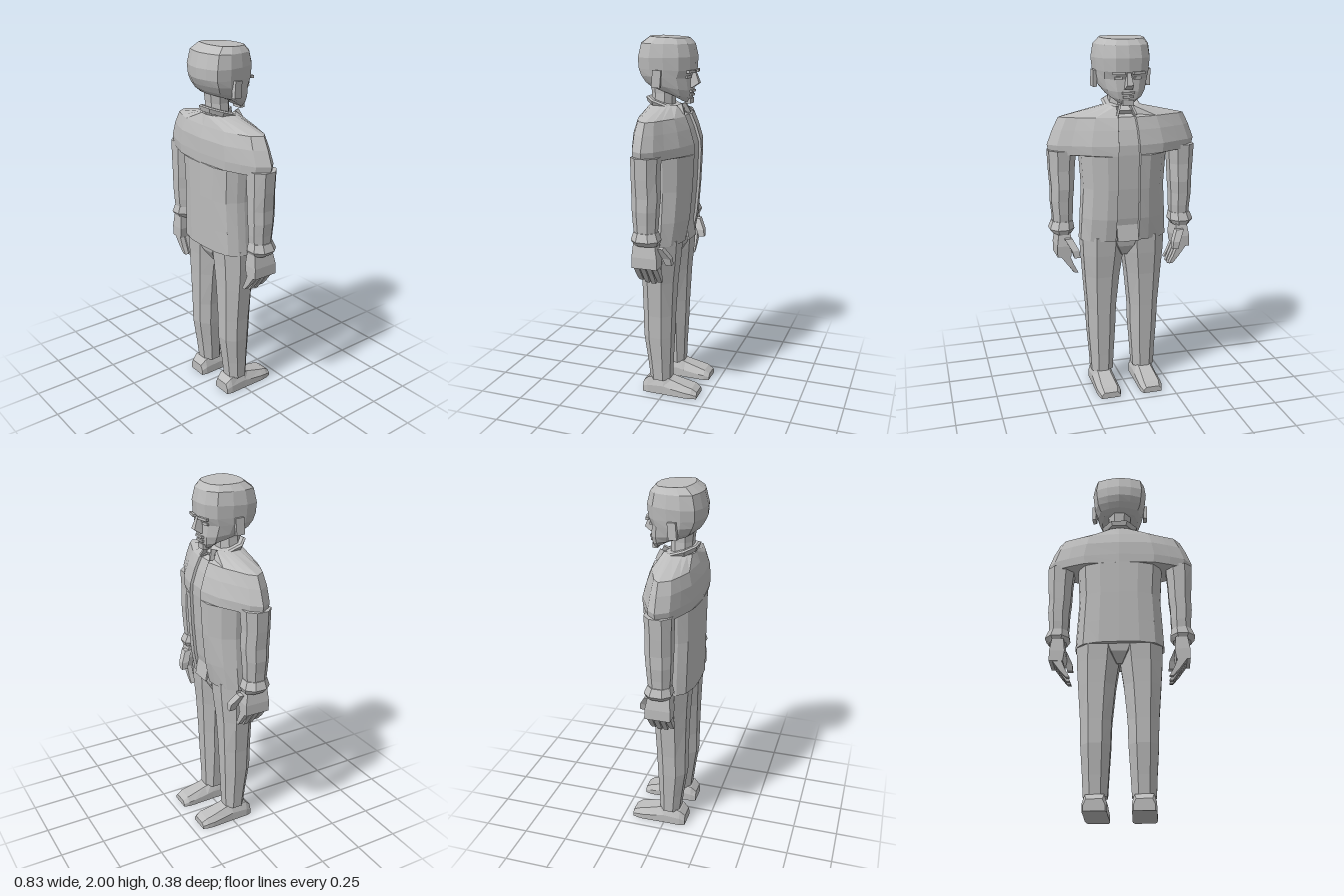
import * as THREE from 'three';

const V = (x, y, z) => new THREE.Vector3(x, y, z);

// Skin a stack of equal-length closed rings, cap both ends, face outwards
function loft(rings) {
  const tris = [];
  const n = rings[0].length;
  for (let r = 0; r < rings.length - 1; r++) {
    const a = rings[r], b = rings[r + 1];
    for (let i = 0; i < n; i++) {
      const j = (i + 1) % n;
      tris.push([a[i], a[j], b[j]], [a[i], b[j], b[i]]);
    }
  }
  const cap = (ring, flip) => {
    const c = V(0, 0, 0);
    ring.forEach((p) => c.addScaledVector(p, 1 / n));
    ring.forEach((p, i) => {
      const q = ring[(i + 1) % n];
      tris.push(flip ? [c, q, p] : [c, p, q]);
    });
  };
  cap(rings[0], true);
  cap(rings[rings.length - 1], false);
  let volume = 0;
  const cross = V(0, 0, 0);
  for (const [a, b, c] of tris) volume += a.dot(cross.crossVectors(b, c));
  const points = tris.flatMap(([a, b, c]) => (volume < 0 ? [a, c, b] : [a, b, c]));
  const geo = new THREE.BufferGeometry().setFromPoints(points);
  geo.computeVertexNormals();
  return geo;
}

// Bevelled octagon between x and z limits at height y
function octagon(x0, x1, z0, z1, y, bevel = 0.45) {
  const cx = (x0 + x1) / 2, cz = (z0 + z1) / 2, rx = (x1 - x0) / 2, rz = (z1 - z0) / 2;
  return [[1, -bevel], [1, bevel], [bevel, 1], [-bevel, 1], [-1, bevel], [-1, -bevel], [-bevel, -1], [bevel, -1]]
    .map(([u, v]) => V(cx + u * rx, y, cz + v * rz));
}
const quad = (x0, x1, z0, z1, y) => [V(x0, y, z0), V(x1, y, z0), V(x1, y, z1), V(x0, y, z1)];

// Complete a half ring (front centre to back centre) by mirroring in x
function mirrorRing(half) {
  const other = half.filter((p) => p.x > 1e-6).reverse().map((p) => V(-p.x, p.y, p.z));
  return [...half, ...other];
}

export function createModel() {
  const model = new THREE.Group();
  model.name = 'standingMan';
  const grey = new THREE.MeshStandardMaterial({ color: 0xbdbdbd });
  grey.name = 'grey';
  grey.flatShading = true;

  const add = (name, geo, parent = model) => {
    const mesh = new THREE.Mesh(geo, grey);
    mesh.name = name;
    parent.add(mesh);
    return mesh;
  };
  const flip = (rings, s) => rings.map((r) => r.map((p) => V(p.x * s, p.y, p.z)));
  const box = (name, w, h, d, x, y, z, parent) => {
    const m = add(name, new THREE.BoxGeometry(w, h, d), parent);
    m.position.set(x, y, z);
    return m;
  };

  // Jacket: fractions of half width and of front (positive) or back (negative) depth
  const trunk = [[0.5, 0.95], [0.82, 0.7], [1, 0.3], [1, -0.15], [0.95, -0.45], [0.8, -0.78], [0.45, -0.97], [0, -1]];
  const chest = [[0.48, 0.8], [0.72, 0.5], [0.89, 0.3], [1, 0], [0.89, -0.45], [0.7, -0.68], [0.48, -0.9], [0, -1]];
  const jacketRing = (y, w, zf, zb, shape, placket, yFront = y) => {
    const mid = 0.03;
    const half = [V(0, yFront, zf + 0.014), V(placket - 0.004, yFront, zf + 0.014), V(placket, yFront, zf)];
    for (const [u, t] of shape) {
      const z = t > 0 ? mid + t * (zf - mid) : mid - t * (zb - mid);
      half.push(V(u * w, y, z));
    }
    return mirrorRing(half);
  };
  add('jacket', loft([
    jacketRing(0.9, 0.245, -0.09, 0.163, trunk, 0.065),
    jacketRing(1.03, 0.238, -0.115, 0.166, trunk, 0.064),
    jacketRing(1.2, 0.228, -0.13, 0.17, trunk, 0.062),
    jacketRing(1.385, 0.24, -0.138, 0.172, trunk, 0.06),
    jacketRing(1.39, 0.405, -0.138, 0.172, chest, 0.06),
    jacketRing(1.44, 0.416, -0.136, 0.173, chest, 0.058),
    jacketRing(1.52, 0.385, -0.112, 0.17, chest, 0.055),
    jacketRing(1.585, 0.352, -0.085, 0.15, chest, 0.05),
    jacketRing(1.64, 0.1, -0.05, 0.13, chest, 0.035, 1.6),
  ]));
  box('shirtHem', 0.12, 0.13, 0.01, 0, 0.965, -0.094).rotation.x = 0.19;

  // Tilted collar band and neck
  const tilt = (ring, k) => ring.map((p) => V(p.x, p.y + k * (p.z - 0.05), p.z));
  add('collar', loft([
    tilt(octagon(-0.088, 0.088, -0.04, 0.135, 1.625), 0.33),
    tilt(octagon(-0.102, 0.102, -0.05, 0.142, 1.65), 0.33),
    tilt(octagon(-0.09, 0.09, -0.035, 0.132, 1.658), 0.33),
  ]));
  add('neck', loft([
    octagon(-0.07, 0.07, 0, 0.115, 1.6),
    octagon(-0.062, 0.062, 0, 0.115, 1.7),
    octagon(-0.068, 0.068, -0.01, 0.125, 1.79),
  ]));

  // Head: [front y, back y, half width, front z, back z]
  const skull = [
    [1.652, 1.735, 0.06, -0.09, 0.06], [1.68, 1.75, 0.105, -0.1, 0.125],
    [1.72, 1.77, 0.128, -0.105, 0.15], [1.785, 1.8, 0.145, -0.1, 0.17],
    [1.825, 1.835, 0.15, -0.12, 0.187], [1.895, 1.89, 0.157, -0.124, 0.19],
    [1.96, 1.965, 0.147, -0.108, 0.17], [1.99, 2.0, 0.12, -0.08, 0.12],
  ];
  const outline = [[0, 0], [0.45, 0.03], [0.8, 0.17], [0.96, 0.42], [1, 0.66], [0.85, 0.88], [0.45, 0.96], [0, 1]];
  add('head', loft(skull.map(([yf, yb, w, zf, zb]) => mirrorRing(outline.map(([u, t]) =>
    V(u * w, THREE.MathUtils.lerp(yf, yb, t), THREE.MathUtils.lerp(zf, zb, t)))))));

  // Face details
  add('nose', loft([
    quad(-0.022, 0.022, -0.112, -0.09, 1.735),
    quad(-0.018, 0.018, -0.146, -0.09, 1.758),
    quad(-0.009, 0.009, -0.122, -0.09, 1.822),
  ]));
  box('upperLip', 0.066, 0.012, 0.02, 0, 1.716, -0.104);
  box('lowerLip', 0.056, 0.012, 0.02, 0, 1.695, -0.1);
  box('chin', 0.06, 0.028, 0.03, 0, 1.663, -0.088);

  for (const s of [1, -1]) {
    const side = new THREE.Group();
    side.name = s > 0 ? 'leftSide' : 'rightSide';
    model.add(side);
    const part = (name, rings) => add(name, loft(flip(rings, s)), side);

    box('brow', 0.066, 0.014, 0.018, s * 0.055, 1.82, -0.116, side).rotation.y = -s * 0.2;
    box('eye', 0.04, 0.014, 0.012, s * 0.052, 1.792, -0.1, side).rotation.y = -s * 0.2;
    const ear = box('ear', 0.022, 0.09, 0.046, s * 0.15, 1.785, 0.043, side);
    ear.rotation.set(-0.08, s * 0.1, 0);
    const point = box('collarPoint', 0.012, 0.06, 0.04, s * 0.042, 1.615, -0.05, side);
    point.rotation.set(0.4, 0, s * 0.35);

    // Sleeve with cuff
    part('sleeve', [
      octagon(0.262, 0.412, -0.042, 0.105, 1.41),
      octagon(0.272, 0.408, -0.036, 0.103, 1.3),
      octagon(0.277, 0.401, -0.04, 0.102, 1.2),
      octagon(0.284, 0.403, -0.034, 0.1, 1.13),
      octagon(0.285, 0.396, -0.03, 0.097, 1.06),
      octagon(0.29, 0.393, -0.024, 0.092, 1.005),
    ]);
    part('cuff', [
      octagon(0.297, 0.393, -0.035, 0.09, 0.945),
      octagon(0.28, 0.415, -0.045, 0.105, 0.972),
      octagon(0.286, 0.398, -0.028, 0.094, 1.015),
    ]);

    // Hand
    part('palm', [
      quad(0.308, 0.384, -0.04, 0.1, 0.82),
      quad(0.3, 0.384, -0.04, 0.1, 0.88),
      quad(0.308, 0.372, -0.025, 0.094, 0.955),
    ]);
    [0.725, 0.713, 0.71, 0.72].forEach((tip, i) => {
      const z = 0.068 - i * 0.035;
      part('finger', [
        quad(0.268, 0.288, z + 0.003, z + 0.027, tip),
        quad(0.291, 0.325, z, z + 0.029, 0.765),
        quad(0.318, 0.372, z, z + 0.03, 0.83),
      ]);
    });
    part('thumb', [
      quad(0.268, 0.3, -0.093, -0.06, 0.825),
      quad(0.272, 0.312, -0.09, -0.045, 0.865),
      quad(0.302, 0.345, -0.055, -0.015, 0.925),
    ]);

    // Trouser leg, meeting its twin above the crotch
    part('trouserLeg', [
      octagon(0.062, 0.188, -0.03, 0.088, 0.085),
      octagon(0.056, 0.193, -0.033, 0.1, 0.19),
      octagon(0.046, 0.204, -0.04, 0.122, 0.35),
      octagon(0.042, 0.208, -0.045, 0.123, 0.48),
      octagon(0.022, 0.223, -0.055, 0.127, 0.68),
      octagon(0.003, 0.232, -0.068, 0.132, 0.81),
      octagon(-0.01, 0.236, -0.075, 0.14, 0.92),
    ]);

    // Shoe: cross-sections from heel to toe [z, inner, outer, height, top inset]
    const shoe = [
      [0.126, 0.07, 0.18, 0.06, 0.014], [0.095, 0.062, 0.188, 0.09, 0.014],
      [0.0, 0.062, 0.188, 0.102, 0.02], [-0.04, 0.061, 0.189, 0.085, 0.028],
      [-0.13, 0.059, 0.191, 0.062, 0.024], [-0.165, 0.06, 0.187, 0.054, 0.02],
      [-0.195, 0.07, 0.178, 0.034, 0.016],
    ];
    part('shoe', shoe.map(([z, a, b, h, inset]) => [
      V(a, 0, z), V(b, 0, z), V(b, h * 0.5, z), V(b - inset, h, z), V(a + inset, h, z), V(a, h * 0.5, z),
    ]));
  }
  // Seat of the trousers between the legs
  add('trouserSeat', loft([
    octagon(-0.03, 0.03, -0.03, 0.09, 0.8),
    octagon(-0.1, 0.1, -0.065, 0.13, 0.86),
    octagon(-0.15, 0.15, -0.075, 0.14, 0.92),
  ]));
  return model;
}
